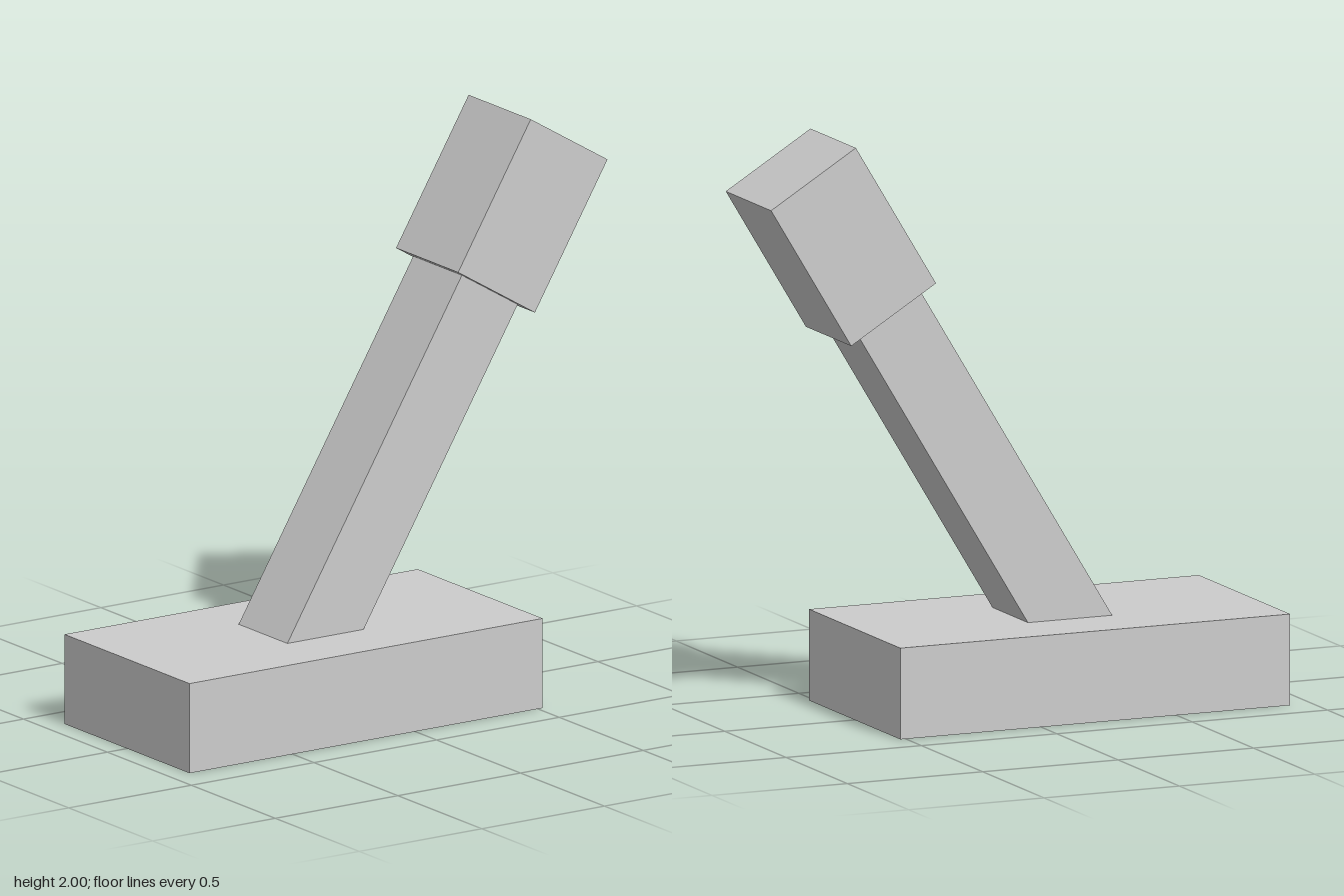
import * as THREE from 'three';

const TILT = 0.545; // lean of the lever towards +x, in radians
const BASE_HEIGHT = 0.313;

export function createModel() {
  const model = new THREE.Group();
  const material = new THREE.MeshStandardMaterial({ color: 0xcccccc, flatShading: true });

  const addBox = (parent, name, size, position) => {
    const mesh = new THREE.Mesh(new THREE.BoxGeometry(...size), material);
    mesh.name = name;
    mesh.position.set(...position);
    parent.add(mesh);
  };

  // Flat base block
  addBox(model, 'base', [1.44, BASE_HEIGHT, 0.745], [-0.2, BASE_HEIGHT / 2, 0]);

  // Tilted lever, with its origin where the shaft meets the grip
  const lever = new THREE.Group();
  lever.name = 'lever';
  lever.position.set(0.46, 1.418, 0);
  lever.rotation.z = -TILT;
  model.add(lever);

  // Shaft, its lower end sunk into the base
  const shaftLength = 1.42;
  addBox(lever, 'shaft', [0.266, shaftLength, 0.29], [0, -shaftLength / 2, 0]);

  // Wider grip at the end of the shaft
  addBox(lever, 'grip', [0.366, 0.571, 0.37], [0, 0.2855, 0]);

  return model;
}
